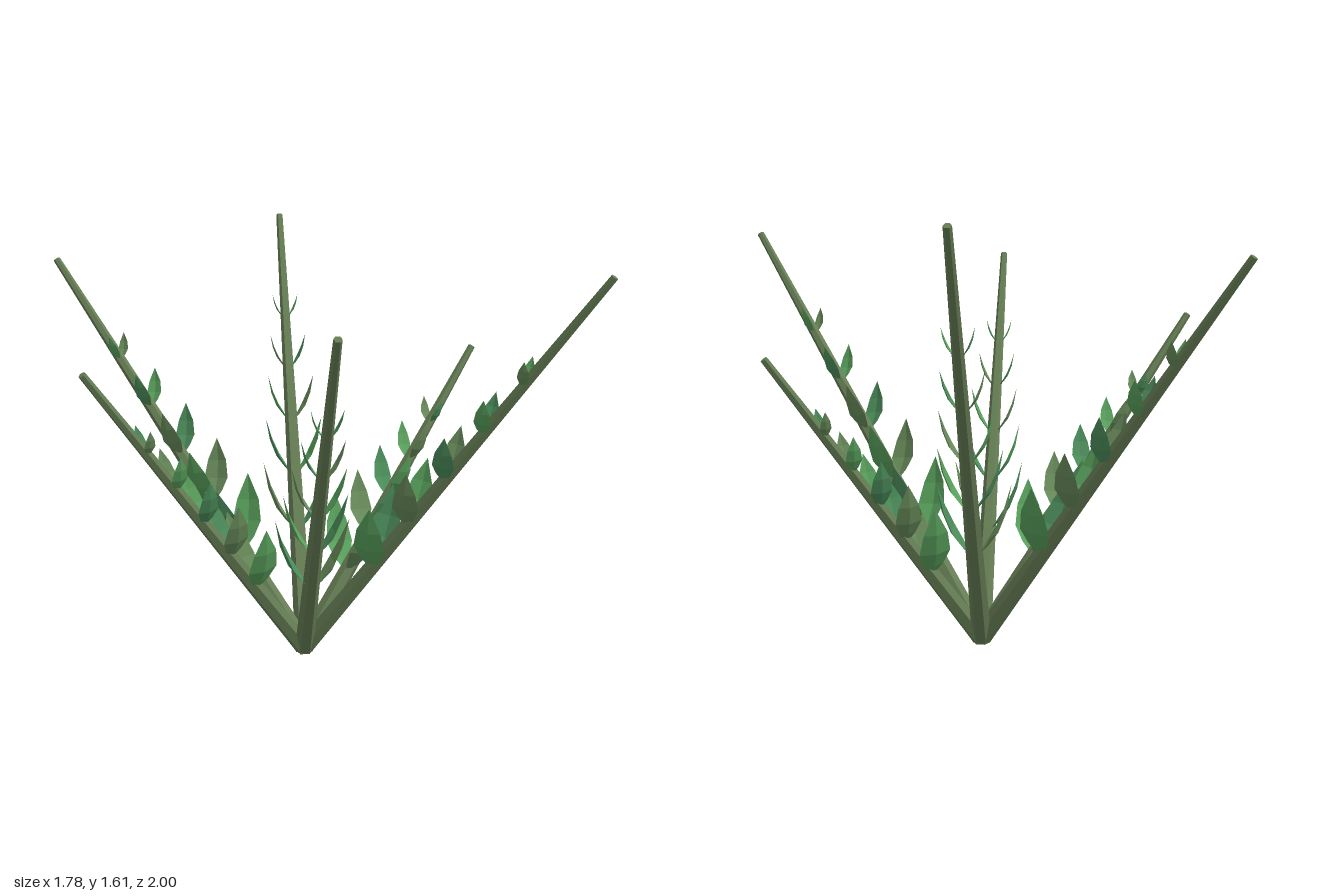
import * as THREE from 'three';

const UP = new THREE.Vector3(0, 1, 0);
const BASE = new THREE.Vector3(0.04, 0.02, 0.005);
const TIPS = [
  [0.878, 1.14, 0.005], [0.61, 1.6, -0.99], [-0.51, 1.5, -0.93],
  [-0.878, 1.25, 0.005], [-0.505, 1.48, 0.93], [0.6, 1.57, 0.985],
];

const material = (color) => new THREE.MeshStandardMaterial({
  color, flatShading: true, side: THREE.DoubleSide, roughness: 0.9,
});

// Pointed leaf of unit length along y, folded along its midrib and bowed outward (-z)
function leafGeometry() {
  const rows = [[0, 0.03, 0], [0.17, 0.13, 0.06], [0.38, 0.2, 0.11], [0.66, 0.155, 0.1], [1, 0, 0.02]]; // height, half width, bow
  const pos = [], index = [];
  rows.forEach(([y, w, b]) => pos.push(-w, y, w * 0.25 - b, 0, y, -b, w, y, w * 0.25 - b));
  for (let r = 0; r < rows.length - 1; r++) {
    for (let c = 0; c < 2; c++) {
      const a = r * 3 + c;
      index.push(a, a + 1, a + 4, a, a + 4, a + 3);
    }
  }
  const geo = new THREE.BufferGeometry();
  geo.setAttribute('position', new THREE.Float32BufferAttribute(pos, 3));
  geo.setIndex(index);
  geo.computeVertexNormals();
  return geo;
}

export function createModel() {
  const plant = new THREE.Group();
  plant.name = 'plant';
  const stemMat = material(0x657d54);
  const leafMats = [0x58a05c, 0x678a5a, 0x4b8c5a].map(material);
  const leafGeo = leafGeometry();

  TIPS.forEach((t, i) => {
    const branch = new THREE.Group();
    branch.name = 'branch' + (i + 1);
    const tip = new THREE.Vector3(...t);
    const along = tip.clone().sub(BASE);

    // Tapered stem
    const stem = new THREE.Mesh(
      new THREE.CylinderGeometry(0.014, 0.038, along.length(), 6), stemMat);
    stem.name = 'stem';
    stem.position.copy(BASE).addScaledVector(along, 0.5);
    stem.quaternion.setFromUnitVectors(UP, along.clone().normalize());
    branch.add(stem);

    // Five pairs of leaves, shrinking towards the tip
    const out = new THREE.Vector3(along.x, 0, along.z).normalize();
    const side = new THREE.Vector3().crossVectors(out, UP);
    for (let k = 0; k < 5; k++) {
      const size = 1 - k * 0.162;
      for (const s of [-1, 1]) {
        const y = out.clone().multiplyScalar(0.04).addScaledVector(side, s * 0.12)
          .addScaledVector(UP, 0.28);
        const length = y.length() * size;
        y.normalize();
        // Blade width runs outward along the stem, its fold opens towards the stem
        const x = out.clone().addScaledVector(y, -out.dot(y)).normalize().multiplyScalar(-s);
        const z = new THREE.Vector3().crossVectors(x, y);
        const leaf = new THREE.Mesh(leafGeo, leafMats[(i + k + (s > 0 ? 1 : 0)) % 3]);
        leaf.name = s > 0 ? 'rightLeaf' : 'leftLeaf';
        leaf.quaternion.setFromRotationMatrix(new THREE.Matrix4().makeBasis(x, y, z));
        leaf.scale.setScalar(length);
        leaf.position.copy(BASE).addScaledVector(along, 0.25 + k * 0.123)
          .addScaledVector(side, s * 0.01);
        branch.add(leaf);
      }
    }
    plant.add(branch);
  });
  return plant;
}
